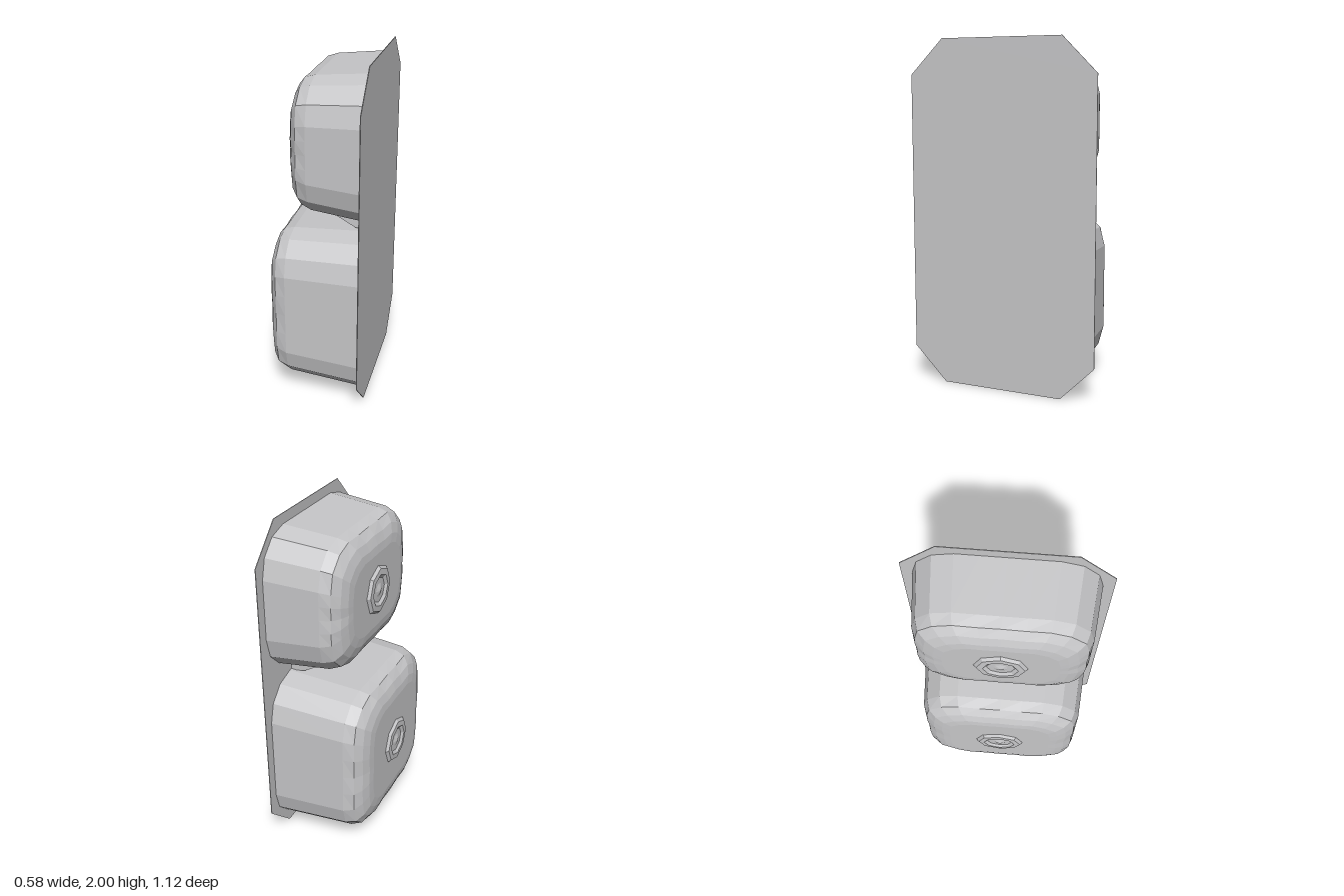
import * as THREE from 'three';

const grey = new THREE.MeshStandardMaterial({ color: 0xc6c6c8, flatShading: true });
grey.name = 'light grey';

function addMesh(parent, name, geometry) {
  const mesh = new THREE.Mesh(geometry, grey);
  mesh.name = name;
  parent.add(mesh);
  return mesh;
}

// Rounded rectangle outline in the z/y plane, with extra points along each side
function outline(halfZ, halfY, radius) {
  const corners = [[1, 1], [-1, 1], [-1, -1], [1, -1]];
  const arcs = corners.map(([sz, sy], c) => [0, 1, 2, 3].map((k) => {
    const a = (c + k / 3) * Math.PI / 2;
    return [sz * (halfZ - radius) + radius * Math.cos(a), sy * (halfY - radius) + radius * Math.sin(a)];
  }));
  const points = [];
  arcs.forEach((arc, c) => {
    points.push(...arc);
    const [z0, y0] = arc[3], [z1, y1] = arcs[(c + 1) % 4][0];
    for (let k = 1; k < 4; k++) points.push([z0 + (z1 - z0) * k / 4, y0 + (y1 - y0) * k / 4]);
  });
  return points;
}

// Cushion-like block: rings from the plate towards -x, closed by a flat face
function blockGeometry(halfZ, halfY, faceX) {
  const rings = [ // x, inset, scallop
    [0.285, 0, 0], [faceX + 0.12, 0.03, 0], [faceX + 0.06, 0.05, 0.005],
    [faceX + 0.025, 0.095, 0.01], [faceX + 0.006, 0.145, 0.01], [faceX, 0.19, 0.006],
  ];
  const positions = [], index = [];
  let n = 0;
  rings.forEach(([x, inset, scallop]) => {
    const points = outline(halfZ - inset, halfY - inset, 0.23 - inset * 0.45);
    n = points.length;
    points.forEach(([z, y], j) => {
      const s = 1 + (j % 2 ? scallop : -scallop);
      positions.push(x, y * s, z * s);
    });
  });
  for (let i = 0; i < rings.length - 1; i++) {
    for (let j = 0; j < n; j++) {
      const a = i * n + j, b = i * n + (j + 1) % n;
      index.push(a, b, b + n, a, b + n, a + n);
    }
  }
  const centre = rings.length * n, last = centre - n;
  positions.push(faceX, 0, 0);
  for (let j = 0; j < n; j++) index.push(centre, last + j, last + (j + 1) % n);
  const geometry = new THREE.BufferGeometry();
  geometry.setAttribute('position', new THREE.Float32BufferAttribute(positions, 3));
  geometry.setIndex(index);
  geometry.computeVertexNormals();
  return geometry;
}

// Low eight-sided boss with a raised rim and a small peak
function bossGeometry() {
  const profile = [[0.145, 0], [0.13, 0.016], [0.095, 0.018], [0.075, 0.005], [0.04, 0.006], [0, 0.018]];
  return new THREE.LatheGeometry(profile.map(([r, h]) => new THREE.Vector2(r, h)), 8);
}

function createBlock(name, y, halfZ, halfY, faceX) {
  const block = new THREE.Group();
  block.name = name;
  block.position.y = y;
  addMesh(block, name + 'Body', blockGeometry(halfZ, halfY, faceX));
  const boss = addMesh(block, name + 'Boss', bossGeometry());
  boss.position.x = faceX;
  boss.rotation.z = Math.PI / 2;
  return block;
}

export function createModel() {
  const model = new THREE.Group();
  model.name = 'wallUnit';

  // Thin back plate with cut corners
  const w = 0.56, c = 0.2;
  const plateShape = new THREE.Shape([
    [w - c, 0], [w, c], [w, 2 - c], [w - c, 2], [c - w, 2], [-w, 2 - c], [-w, c], [c - w, 0],
  ].map(([x, y]) => new THREE.Vector2(x, y)));
  const plate = addMesh(model, 'backPlate',
    new THREE.ExtrudeGeometry(plateShape, { depth: 0.004, bevelEnabled: false }));
  plate.rotation.y = Math.PI / 2;
  plate.position.x = 0.284;

  // Two rounded blocks, the lower one deeper
  model.add(createBlock('lowerBlock', 0.562, 0.5, 0.492, -0.272));
  model.add(createBlock('upperBlock', 1.537, 0.5, 0.405, -0.142));

  // Sloped web joining the blocks at the plate
  const webShape = new THREE.Shape([[0.04, 1.15], [0.2, 1.06], [0.285, 1.045], [0.285, 1.16]]
    .map(([x, y]) => new THREE.Vector2(x, y)));
  const web = addMesh(model, 'joiningWeb',
    new THREE.ExtrudeGeometry(webShape, { depth: 0.5, bevelEnabled: false }));
  web.position.z = -0.25;

  return model;
}
